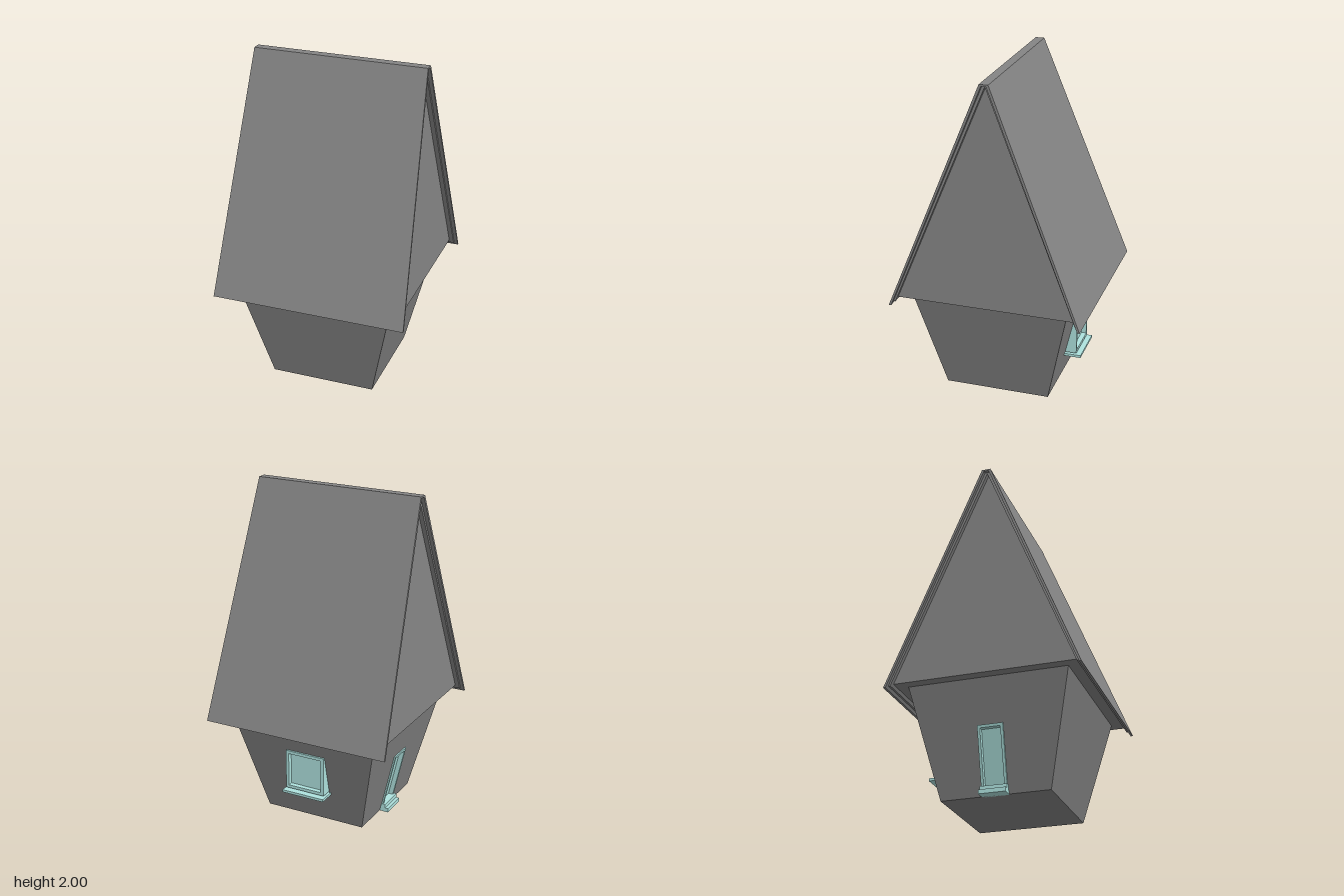
import * as THREE from 'three';

const grey = new THREE.MeshStandardMaterial({ color: 0x858585, flatShading: true, side: THREE.DoubleSide });
const teal = new THREE.MeshStandardMaterial({ color: 0xafe3df, flatShading: true });

const BASE = 0.323;     // half width of the house at the ground
const LEAN = 0.236;     // outward lean of the walls per unit height
const WALL_TOP = 0.655;

function mesh(name, geometry, material) {
  const m = new THREE.Mesh(geometry, material);
  m.name = name;
  return m;
}

// Move every vertex of a geometry by a rule
function warp(geometry, rule) {
  const p = geometry.attributes.position;
  const v = new THREE.Vector3();
  for (let i = 0; i < p.count; i++) {
    rule(v.fromBufferAttribute(p, i));
    p.setXYZ(i, v.x, v.y, v.z);
  }
  geometry.computeVertexNormals();
  return geometry;
}

// Lean a piece built on z = 0 to follow the wall
const lean = (geometry) => warp(geometry, (v) => { v.z += BASE + LEAN * v.y; });

const polygon = (points) => new THREE.Shape(points.map(([x, y]) => new THREE.Vector2(x, y)));
const rect = (w, y0, y1) => polygon([[-w, y0], [w, y0], [w, y1], [-w, y1]]);

// Box given by half width, height range and depth range
function block(w, y0, y1, z0, z1) {
  return new THREE.BoxGeometry(2 * w, y1 - y0, z1 - z0).translate(0, (y0 + y1) / 2, (z0 + z1) / 2);
}

// Rectangular frame with an opening, between two depths
function frame(w, y0, y1, border, z0, z1) {
  const s = rect(w, y0, y1);
  s.holes.push(rect(w - border, y0 + border, y1 - border));
  return new THREE.ExtrudeGeometry(s, { depth: z1 - z0, bevelEnabled: false }).translate(0, 0, z0);
}

// Leaning trapezoid wall, optionally with an opening
function wall(opening) {
  const top = BASE + LEAN * WALL_TOP;
  const s = polygon([[-BASE, 0], [BASE, 0], [top, WALL_TOP], [-top, WALL_TOP]]);
  if (opening) s.holes.push(opening);
  return lean(new THREE.ShapeGeometry(s));
}

// Roof piece: a (z, y) profile run along x, its ends spreading towards the eaves
function roofPiece(points, inset) {
  const g = new THREE.ExtrudeGeometry(polygon(points), { depth: 2, bevelEnabled: false });
  g.translate(0, 0, -1).rotateY(Math.PI / 2);
  return warp(g, (v) => { v.x *= 0.528 + 0.0465 * (2 - v.y) - inset; });
}

export function createModel() {
  const model = new THREE.Group();

  // Walls: each side is built facing +z and turned into place
  const sides = [
    ['frontWall', 0],
    ['leftWall', Math.PI / 2],
    ['backWall', Math.PI, rect(0.118, 0.232, 0.456)],
    ['rightWall', -Math.PI / 2, rect(0.066, 0.045, 0.378)],
  ];
  for (const [name, turn, opening] of sides) {
    const m = mesh(name, wall(opening), grey);
    m.rotation.y = turn;
    model.add(m);
  }
  model.add(mesh('floor', new THREE.PlaneGeometry(2 * BASE, 2 * BASE).rotateX(Math.PI / 2), grey));

  // Roof: outer slab, inner lining and the closed gable block
  model.add(mesh('roof', roofPiece([
    [-0.583, 0.615], [-0.569, 0.615], [-0.014, 1.99], [0.014, 1.99], [0.569, 0.615],
    [0.583, 0.615], [0.027, 2], [-0.027, 2],
  ], 0), grey));
  model.add(mesh('roofLining', roofPiece([
    [-0.562, 0.633], [-0.55, 0.633], [0, 1.982], [0.55, 0.633],
    [0.562, 0.633], [0.014, 1.99], [-0.014, 1.99],
  ], 0.022), grey));
  model.add(mesh('gable', roofPiece([[-0.545, 0.652], [0.545, 0.652], [0, 1.982]], 0.049), grey));

  // Window on the back wall
  const win = new THREE.Group();
  win.name = 'window';
  win.add(
    mesh('windowFrame', frame(0.128, 0.22, 0.466, 0.019, 0.36, 0.445), teal),
    mesh('windowPane', block(0.115, 0.23, 0.451, 0.405, 0.415), teal),
    mesh('windowSill', block(0.138, 0.197, 0.213, 0.36, 0.475), teal),
  );
  win.rotation.y = Math.PI;
  model.add(win);

  // Leaning door and its steps on the right wall
  const door = new THREE.Group();
  door.name = 'door';
  door.add(
    mesh('doorFrame', lean(frame(0.076, 0.035, 0.387, 0.016, -0.035, 0.009)), teal),
    mesh('doorPanel', lean(block(0.062, 0.045, 0.375, -0.03, -0.02)), teal),
    mesh('lowerStep', block(0.08, 0, 0.025, 0.31, 0.38), teal),
    mesh('upperStep', block(0.08, 0.025, 0.05, 0.315, 0.36), teal),
  );
  door.rotation.y = -Math.PI / 2;
  model.add(door);

  return model;
}
